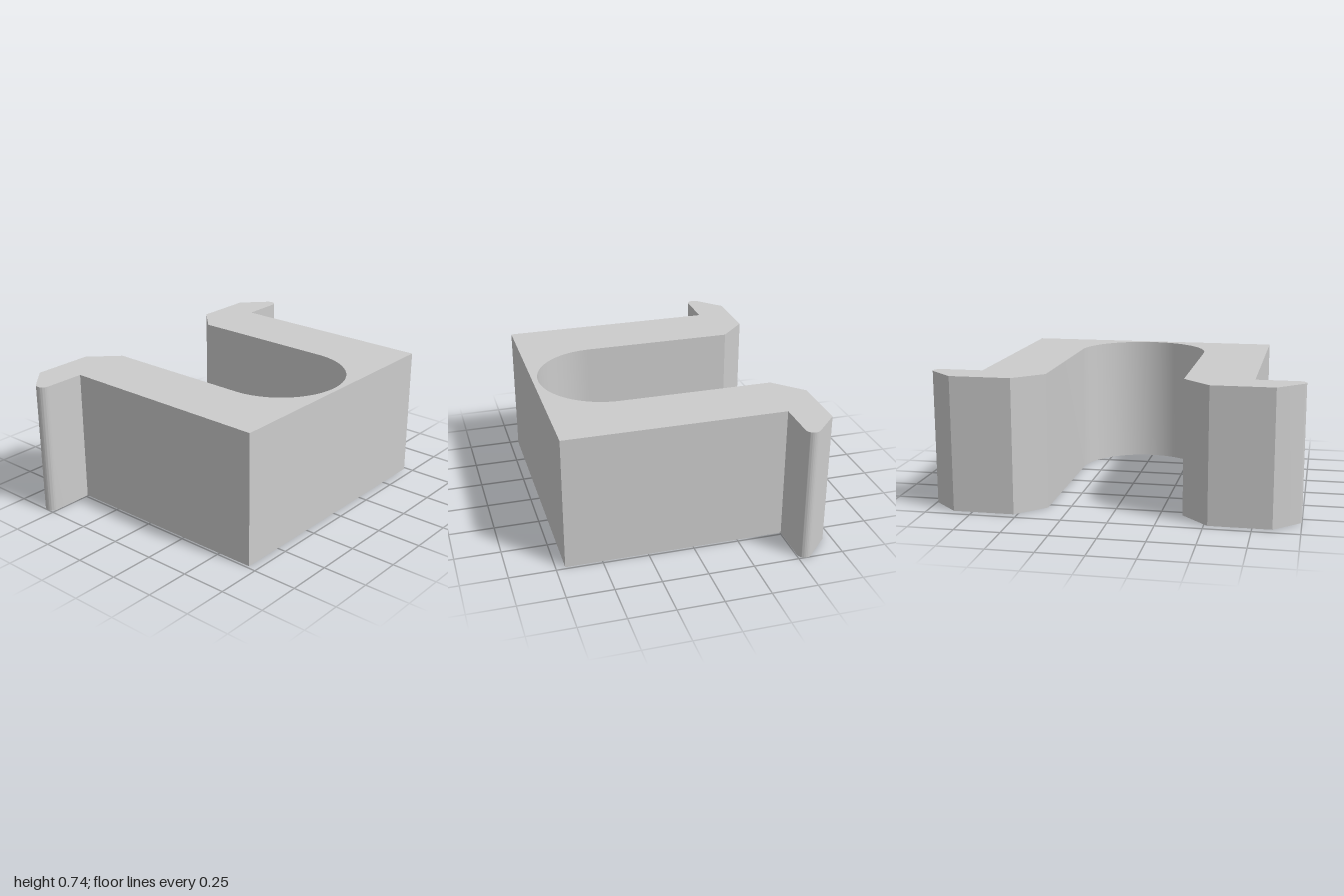
import * as THREE from 'three';
import { toCreasedNormals } from 'three/addons/utils/BufferGeometryUtils.js';

export function createModel() {
  const group = new THREE.Group();
  group.name = 'clip';

  const height = 0.74;
  const bodyX = 0.735, halfDepth = 0.7; // outer body
  const slotR = 0.37, slotZ = 0.3; // round-ended slot
  const tipX = 0.96, tipR = 0.04, hookZ = 0.505; // rounded hook tips

  // Plan outline, drawn with shape y = -z
  const s = new THREE.Shape();
  s.moveTo(-bodyX, -halfDepth);
  s.lineTo(bodyX, -halfDepth);
  // left hook
  s.lineTo(bodyX, hookZ);
  s.lineTo(tipX, hookZ);
  s.absarc(tipX, hookZ + tipR, tipR, -Math.PI / 2, Math.PI / 4, false);
  s.lineTo(0.855, halfDepth);
  s.lineTo(0.52, halfDepth);
  // slot with chamfered mouth
  s.lineTo(slotR, 0.55);
  s.lineTo(slotR, -slotZ);
  s.absarc(0, -slotZ, slotR, 0, Math.PI, true);
  s.lineTo(-slotR, 0.55);
  // right hook
  s.lineTo(-0.52, halfDepth);
  s.lineTo(-0.855, halfDepth);
  s.absarc(-tipX, hookZ + tipR, tipR, Math.PI * 0.75, Math.PI * 1.5, false);
  s.lineTo(-bodyX, hookZ);
  s.closePath();

  // Stand the extrusion upright
  const extruded = new THREE.ExtrudeGeometry(s, { depth: height, bevelEnabled: false, curveSegments: 24 });
  extruded.rotateX(-Math.PI / 2);

  const body = new THREE.Mesh(
    toCreasedNormals(extruded, 0.5),
    new THREE.MeshStandardMaterial({ color: 0xcccccc })
  );
  body.name = 'clipBody';
  group.add(body);
  return group;
}
